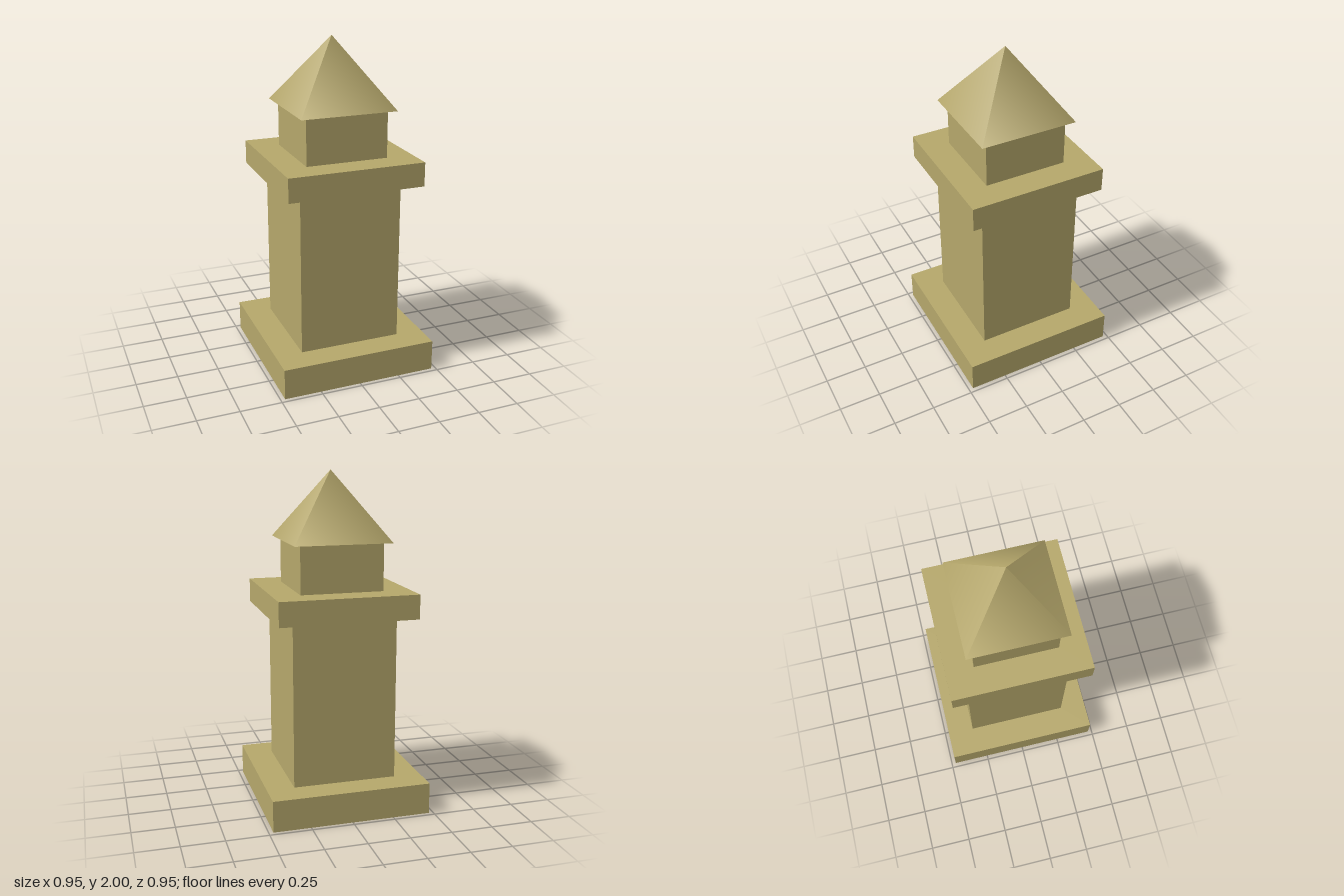
import * as THREE from 'three';

export function createModel() {
  const group = new THREE.Group();
  const stone = new THREE.MeshStandardMaterial({ color: 0xb5a76b });

  const add = (name, geometry, y) => {
    const mesh = new THREE.Mesh(geometry, stone);
    mesh.name = name;
    mesh.position.y = y;
    group.add(mesh);
  };

  // Square tiers: name, width, bottom, top (a narrow gap separates shaft and ledge)
  const tiers = [
    ['base', 0.947, 0, 0.187],
    ['shaft', 0.62, 0.187, 1.157],
    ['ledge', 0.823, 1.17, 1.314],
    ['lanternRoom', 0.495, 1.314, 1.595],
  ];
  for (const [name, width, bottom, top] of tiers) {
    add(name, new THREE.BoxGeometry(width, top - bottom, width), (bottom + top) / 2);
  }

  // Four-sided roof with softly shaded slopes, turned square to the tiers
  const roofBottom = 1.595, roofHeight = 2 - roofBottom;
  const roof = new THREE.ConeGeometry(0.29 * Math.SQRT2, roofHeight, 4);
  roof.rotateY(Math.PI / 4);
  add('roof', roof, roofBottom + roofHeight / 2);

  return group;
}
